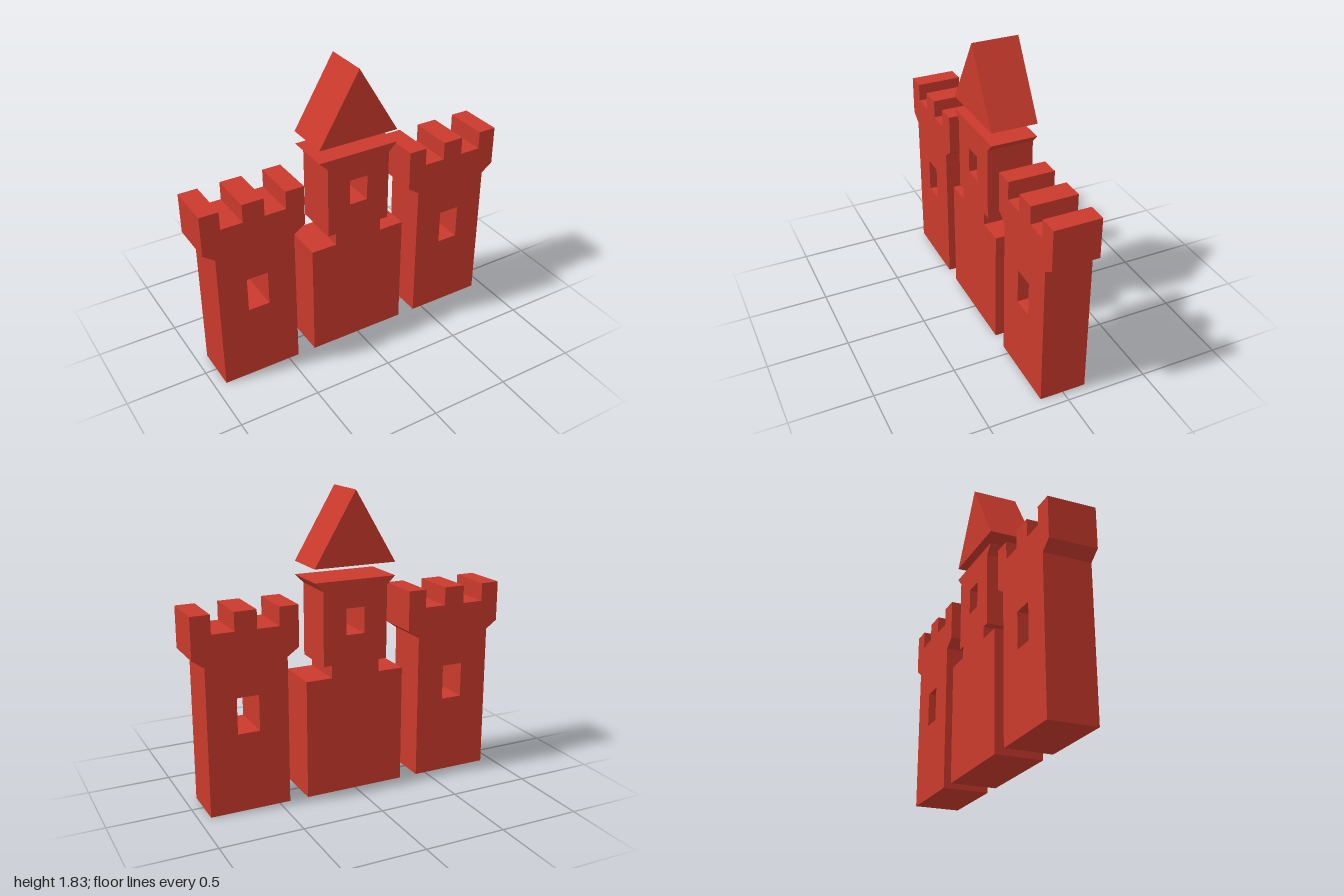
import * as THREE from 'three';

const DEPTH = 0.286;

const toPath = (PathType, pts) => new PathType(pts.map(([x, y]) => new THREE.Vector2(x, y)));

const rect = (x0, x1, y0, y1) => [[x0, y0], [x0, y1], [x1, y1], [x1, y0]];

// Flat outline pushed out to the common wall thickness, centred on z = 0
function slab(name, outline, holes, material) {
  const shape = toPath(THREE.Shape, outline);
  for (const hole of holes) shape.holes.push(toPath(THREE.Path, hole));
  const geometry = new THREE.ExtrudeGeometry(shape, { depth: DEPTH, bevelEnabled: false });
  geometry.translate(0, 0, -DEPTH / 2);
  const mesh = new THREE.Mesh(geometry, material);
  mesh.name = name;
  return mesh;
}

// Mirrors a right-half outline (listed from bottom to top) to a full one
const symmetric = (half) => [...half, ...half.slice().reverse().map(([x, y]) => [-x, y])];

export function createModel() {
  const red = new THREE.MeshStandardMaterial({ color: 0xc93a2c });
  red.name = 'brick red';

  const castle = new THREE.Group();
  castle.name = 'castle';

  // Side towers: flared top with three merlons and one window
  const towerOutline = symmetric([
    [0.247, 0], [0.247, 0.905], [0.319, 0.955], [0.319, 1.205],
    [0.202, 1.205], [0.202, 1.092], [0.067, 1.092], [0.067, 1.205],
  ]);
  const towerWindow = rect(-0.067, 0.067, 0.483, 0.702);
  for (const [name, side] of [['leftTower', 1], ['rightTower', -1]]) {
    const tower = slab(name, towerOutline, [towerWindow], red);
    tower.position.x = side * 0.681;
    castle.add(tower);
  }

  // Central keep: wide base, narrow neck, upper tower with flared rim
  const keepOutline = symmetric([
    [0.318, 0], [0.318, 0.733], [0.155, 0.733], [0.155, 0.81],
    [0.207, 0.81], [0.207, 1.26], [0.26, 1.315],
  ]);
  castle.add(slab('keep', keepOutline, [rect(-0.059, 0.059, 0.985, 1.146)], red));

  // Gabled roof floating above the keep
  castle.add(slab('roof', [[-0.26, 1.396], [0.26, 1.396], [0, 1.832]], [], red));

  return castle;
}
